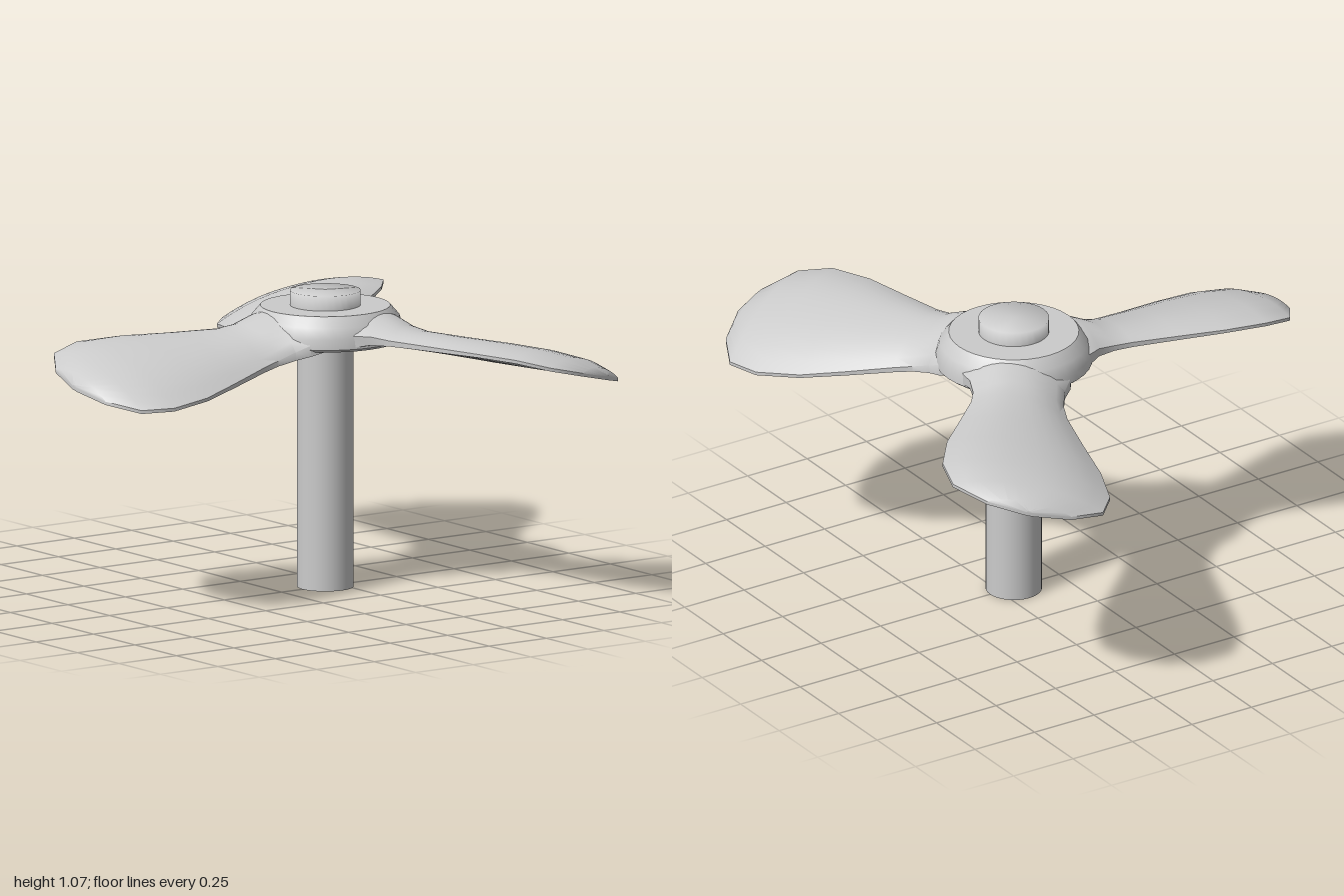
import * as THREE from 'three';
import { toCreasedNormals } from 'three/addons/utils/BufferGeometryUtils.js';

const AXIS_Z = -0.19; // the shaft sits behind the centre of the bounding box

// Blade sections: distance from axis, half width, underside height, tilt, height of crown, edge thickness
const SECTIONS = [
  [0.12, 0.20, 0.892, 0.00, 1.005, 0.05],
  [0.20, 0.19, 0.891, 0.08, 1.005, 0.04],
  [0.25, 0.168, 0.889, 0.15, 0.998, 0.03],
  [0.32, 0.16, 0.882, 0.20, 0.965, 0.02],
  [0.39, 0.17, 0.875, 0.23, 0.948, 0.018],
  [0.55, 0.22, 0.864, 0.25, 0.938, 0.015],
  [0.71, 0.272, 0.855, 0.255, 0.93, 0.012],
  [0.87, 0.296, 0.845, 0.25, 0.918, 0.012],
  [0.99, 0.265, 0.833, 0.235, 0.897, 0.012],
  [1.065, 0.15, 0.828, 0.23, 0.868, 0.012],
  [1.092, 0.012, 0.826, 0.23, 0.845, 0.012],
];

function bladeGeometry() {
  const n = 12; // points across each face
  const ring = 2 * (n + 1);
  const pos = [], index = [];
  for (const [r, half, base, tilt, crown, edge] of SECTIONS) {
    for (let j = 0; j < ring; j++) {
      const top = j <= n;
      const u = top ? -1 + 2 * j / n : 1 - 2 * (j - n - 1) / n;
      const camber = edge + (crown - base - edge) * (1 - Math.abs(u) ** 2.3);
      pos.push(u * half, base - tilt * u * half + (top ? camber : 0), r);
    }
  }
  for (let i = 0; i < SECTIONS.length - 1; i++) {
    for (let j = 0; j < ring; j++) {
      const a = i * ring + j, b = i * ring + (j + 1) % ring;
      index.push(a, a + ring, b, b, a + ring, b + ring);
    }
  }
  // close the tip
  const last = (SECTIONS.length - 1) * ring;
  for (let j = 1; j < ring - 1; j++) index.push(last, last + j + 1, last + j);
  const geo = new THREE.BufferGeometry();
  geo.setAttribute('position', new THREE.Float32BufferAttribute(pos, 3));
  geo.setIndex(index);
  return toCreasedNormals(geo, 0.8);
}

const lathe = (points, segments) =>
  new THREE.LatheGeometry(points.map(([x, y]) => new THREE.Vector2(x, y)), segments);

export function createModel() {
  const model = new THREE.Group();
  model.name = 'propeller';
  const material = new THREE.MeshStandardMaterial({ color: 0xcccccc });
  const add = (name, geometry) => {
    const mesh = new THREE.Mesh(geometry, material);
    mesh.name = name;
    mesh.position.z = AXIS_Z;
    model.add(mesh);
    return mesh;
  };

  // Shaft
  add('shaft', new THREE.CylinderGeometry(0.1, 0.1, 0.95, 32).translate(0, 0.475, 0));

  // Flared hub with a flat top
  add('hub', toCreasedNormals(lathe([
    [0, 0.89], [0.265, 0.89], [0.278, 0.9], [0.276, 0.935], [0.262, 0.975], [0.23, 1.012], [0, 1.012],
  ], 36), 0.6));

  // Cap, softly shaded across its rim
  add('cap', lathe([[0.125, 1.0], [0.125, 1.065], [0, 1.065]], 32));

  // Three blades around the hub
  const blade = bladeGeometry();
  for (let i = 0; i < 3; i++) add('blade' + (i + 1), blade).rotation.y = i * Math.PI * 2 / 3;

  return model;
}
